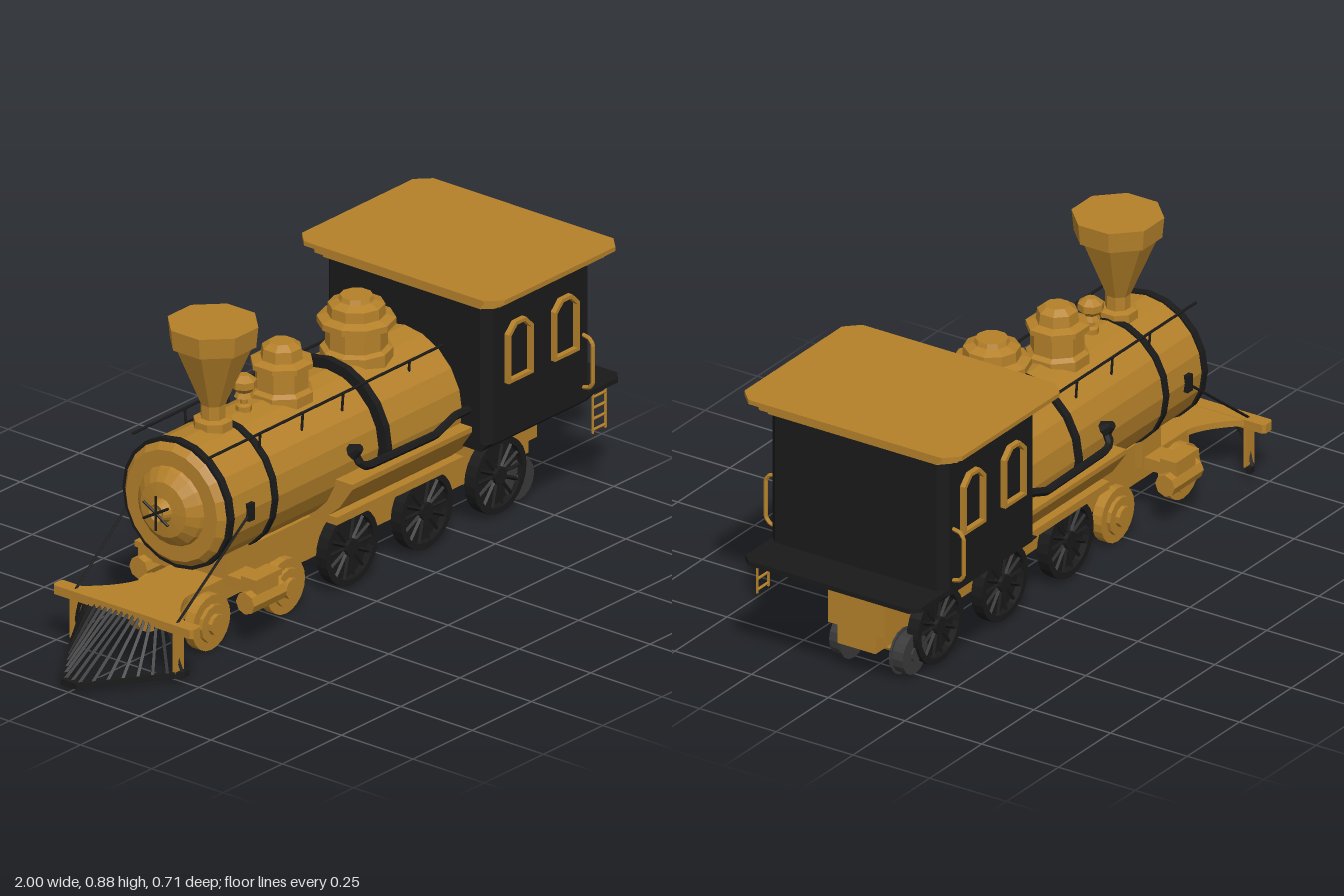
import * as THREE from 'three';

const mat = (color) => new THREE.MeshStandardMaterial({ color, flatShading: true, side: THREE.DoubleSide });
const V = (x, y, z) => new THREE.Vector3(x, y, z);

export function createModel() {
  const root = new THREE.Group();
  const gold = mat(0xb5812a), black = mat(0x1a1a1a), grey = mat(0x3a3a3a);

  const add = (name, geo, m, x = 0, y = 0, z = 0, parent = root) => {
    const mesh = new THREE.Mesh(geo, m);
    mesh.name = name;
    mesh.position.set(x, y, z);
    parent.add(mesh);
    return mesh;
  };
  // Box given by its limits
  const box = (name, m, x0, x1, y0, y1, z0, z1) =>
    add(name, new THREE.BoxGeometry(x1 - x0, y1 - y0, z1 - z0), m, (x0 + x1) / 2, (y0 + y1) / 2, (z0 + z1) / 2);
  // Straight round bar between two points
  const bar = (name, m, a, b, r, sides = 6, parent = root) => {
    const mesh = add(name, new THREE.CylinderGeometry(r, r, a.distanceTo(b), sides), m, 0, 0, 0, parent);
    mesh.position.copy(a).add(b).multiplyScalar(0.5);
    mesh.quaternion.setFromUnitVectors(V(0, 1, 0), b.clone().sub(a).normalize());
    return mesh;
  };
  const tube = (name, m, pts, r, closed = false) => {
    const path = new THREE.CurvePath();
    const n = closed ? pts.length : pts.length - 1;
    for (let i = 0; i < n; i++) path.add(new THREE.LineCurve3(pts[i], pts[(i + 1) % pts.length]));
    return add(name, new THREE.TubeGeometry(path, n * 6, r, 6, closed), m);
  };
  const lathe = (name, m, pts, sides, x, y, z) =>
    add(name, new THREE.LatheGeometry(pts.map((p) => new THREE.Vector2(...p)), sides), m, x, y, z);
  const shape = (pts) => new THREE.Shape(pts.map((p) => new THREE.Vector2(...p)));
  // Horizontal plate with cut corners
  const plate = (name, m, x0, x1, w, y0, y1, c) => {
    const s = shape([[x0 + c, -w], [x1 - c, -w], [x1, c - w], [x1, w - c], [x1 - c, w], [x0 + c, w], [x0, w - c], [x0, c - w]]);
    const g = new THREE.ExtrudeGeometry(s, { depth: y1 - y0, bevelEnabled: false });
    return add(name, g.rotateX(-Math.PI / 2), m, 0, y0, 0);
  };
  const both = (fn) => [1, -1].forEach(fn);

  // Boiler with a wider rear section, smokebox front and door, turned about x
  const axisY = 0.405;
  const boiler = lathe('boiler', gold, [
    [0, -0.61], [0.025, -0.63], [0.035, -0.605], [0.08, -0.6], [0.11, -0.575], [0.115, -0.565], [0.16, -0.565],
    [0.175, -0.55], [0.182, -0.54], [0.182, 0.1], [0.2, 0.1], [0.2, 0.43], [0, 0.43]], 20, 0, axisY, 0);
  boiler.rotation.z = -Math.PI / 2;
  for (const [x, r] of [[-0.535, 0.188], [-0.35, 0.188], [0.1, 0.212]]) {
    add('boilerBand', new THREE.CylinderGeometry(r, r, 0.022, 20), black, x, axisY, 0).rotation.z = -Math.PI / 2;
  }
  for (let i = 0; i < 3; i++) {
    const a = (i * Math.PI) / 3, d = V(0, Math.cos(a) * 0.05, Math.sin(a) * 0.05);
    const c = V(-0.632, axisY, 0);
    bar('doorHandle', black, c.clone().add(d), c.clone().sub(d), 0.004);
  }

  // Smokestack, bell and domes
  lathe('smokestack', gold, [[0.055, 0.57], [0.055, 0.605], [0.035, 0.61], [0.035, 0.65], [0.11, 0.825],
    [0.122, 0.828], [0.128, 0.888], [0, 0.888]], 8, -0.39, 0, 0).rotation.y = Math.PI / 8;
  lathe('bell', gold, [[0.022, 0.57], [0.022, 0.6], [0.01, 0.605], [0.01, 0.62], [0.027, 0.625], [0.02, 0.64],
    [0.036, 0.655], [0.036, 0.675], [0.015, 0.69], [0, 0.69]], 8, -0.26, 0, 0);
  lathe('sandDome', gold, [[0.088, 0.56], [0.088, 0.595], [0.075, 0.605], [0.075, 0.66], [0.088, 0.665], [0.088, 0.68],
    [0.06, 0.688], [0.056, 0.72], [0.035, 0.735], [0, 0.735]], 8, -0.1, 0, 0).rotation.y = Math.PI / 8;
  lathe('steamDome', gold, [[0.1, 0.57], [0.1, 0.612], [0.085, 0.62], [0.085, 0.675], [0.108, 0.682], [0.108, 0.7],
    [0.08, 0.71], [0.078, 0.74], [0.05, 0.752], [0.045, 0.765], [0, 0.765]], 10, 0.215, 0, 0);

  // Side tanks narrowing downward, merging into the floor beneath the cab
  const tank = new THREE.ExtrudeGeometry(
    shape([[-0.13, 0.24], [0.13, 0.24], [0.19, 0.29], [0.235, 0.355], [0.235, 0.37], [-0.235, 0.37], [-0.235, 0.355], [-0.19, 0.29]]),
    { depth: 0.52, bevelEnabled: false });
  add('sideTank', tank.rotateY(Math.PI / 2), gold, -0.085);
  box('runningBoard', gold, -0.085, 0.45, 0.235, 0.258, -0.18, 0.18);

  // Frame and under-cab body
  box('frame', gold, -0.64, 0.865, 0.095, 0.165, -0.062, 0.062);
  box('upperFrame', gold, -0.34, 0.45, 0.16, 0.238, -0.09, 0.09);
  box('underCab', gold, 0.45, 0.865, 0.15, 0.32, -0.092, 0.092);
  box('smokeboxSaddle', gold, -0.45, -0.36, 0.16, 0.26, -0.1, 0.1);

  // Front platform sweeping from the saddle to the bumper beam
  const deck = new THREE.Shape();
  deck.moveTo(-0.75, -0.2);
  deck.quadraticCurveTo(-0.67, -0.1, -0.6, -0.085);
  deck.lineTo(-0.36, -0.085);
  deck.lineTo(-0.36, 0.085);
  deck.lineTo(-0.6, 0.085);
  deck.quadraticCurveTo(-0.67, 0.1, -0.75, 0.2);
  add('frontPlatform', new THREE.ExtrudeGeometry(deck, { depth: 0.018, bevelEnabled: false, curveSegments: 6 })
    .rotateX(-Math.PI / 2), gold, 0, 0.157, 0);
  plate('bumperBeam', gold, -0.775, -0.732, 0.245, 0.15, 0.176, 0.008);

  // Cowcatcher: wedge base and fan of slats
  const vEdge = (t) => V(-1 + 0.25 * Math.max(0, Math.abs(t) - 0.14) / 0.86, 0.035, t * 0.2);
  const wedge = [-1, -0.14, 0.14, 1].map((t) => [vEdge(t).x, vEdge(t).z]);
  const inner = [[-0.73, 0.2], [-0.73, 0.185], [-0.76, 0.175], [-0.965, 0.02], [-0.965, -0.02], [-0.76, -0.175], [-0.73, -0.185], [-0.73, -0.2]];
  add('cowcatcherBase', new THREE.ExtrudeGeometry(shape([...wedge, ...inner]), { depth: 0.017, bevelEnabled: false })
    .rotateX(-Math.PI / 2), black, 0, 0.018, 0);
  for (let i = 0; i < 17; i++) {
    const t = i / 8 - 1;
    bar('cowcatcherSlat', black, vEdge(t * 0.97).add(V(0.008, -0.008, 0)), V(-0.765, 0.165, t * 0.15), 0.006, 4);
  }

  // Wheels, built facing +z and turned for the other side
  const disc = (name, m, r, d, z, parent, sides = 20) =>
    add(name, new THREE.CylinderGeometry(r, r, d, sides), m, 0, 0, z, parent).rotation.x = Math.PI / 2;
  const wheel = (name, x, y, z, side) => {
    const g = new THREE.Group();
    g.name = name;
    g.position.set(x, y, z * side);
    if (side < 0) g.rotation.y = Math.PI;
    root.add(g);
    return g;
  };
  both((s) => {
    for (const x of [-0.535, -0.22]) {
      const g = wheel('leadingWheel', x, 0.083, 0.1, s);
      disc('wheelTread', gold, 0.08, 0.03, 0, g);
      disc('wheelFace', gold, 0.055, 0.014, 0.02, g, 12);
      disc('wheelHub', gold, 0.03, 0.03, 0.025, g, 10);
    }
    for (const x of [0.035, 0.35, 0.66]) {
      const g = wheel('drivingWheel', x, 0.117, 0.117, s);
      const ring = new THREE.Shape().absarc(0, 0, 0.11, 0, Math.PI * 2);
      ring.holes.push(new THREE.Path().absarc(0, 0, 0.092, 0, Math.PI * 2, true));
      add('wheelRim', new THREE.ExtrudeGeometry(ring, { depth: 0.036, bevelEnabled: false, curveSegments: 12 }), black, 0, 0, -0.018, g);
      disc('wheelWeb', black, 0.095, 0.008, -0.006, g);
      disc('wheelHub', black, 0.025, 0.042, 0, g, 12);
      for (let i = 0; i < 14; i++) {
        const a = (i / 14) * Math.PI * 2, c = Math.cos(a), d = Math.sin(a);
        bar('wheelSpoke', black, V(c * 0.015, d * 0.015, 0.006), V(c * 0.096, d * 0.096, 0.006), 0.006, 4, g);
      }
    }
    const t = wheel('trailingWheel', 0.76, 0.07, 0.1, s);
    disc('wheelTread', grey, 0.06, 0.04, 0, t, 16);
    disc('wheelFlange', grey, 0.067, 0.006, -0.018, t, 16);
    disc('wheelHub', grey, 0.022, 0.052, 0, t, 10);

    // Steam cylinders and bumper posts
    add('steamCylinder', new THREE.CylinderGeometry(0.032, 0.032, 0.14, 8), gold, -0.41, 0.14, 0.187 * s).rotation.z = Math.PI / 2;
    box('steamChest', gold, -0.455, -0.365, 0.16, 0.195, s * 0.187 - 0.022, s * 0.187 + 0.022);
    box('steamChestCap', gold, -0.465, -0.355, 0.192, 0.21, s * 0.187 - 0.026, s * 0.187 + 0.026);
    box('cylinderBracket', gold, -0.45, -0.37, 0.155, 0.19, s * 0.13 - 0.04, s * 0.13 + 0.04);
    box('bumperPost', gold, -0.772, -0.735, 0.03, 0.16, s * 0.18 - 0.005, s * 0.18 + 0.005);

    // Brace rods and handrails
    bar('braceRod', black, V(-0.76, 0.17, 0.178 * s), V(-0.455, 0.4, 0.185 * s), 0.004);
    box('braceBracket', black, -0.467, -0.443, 0.378, 0.428, s * 0.182 - 0.01, s * 0.182 + 0.01);
    bar('handrail', black, V(-0.57, 0.583, 0.132 * s), V(0.43, 0.583, 0.132 * s), 0.004);
    for (const x of [-0.35, -0.17, 0.0, 0.28]) {
      bar('handrailPost', black, V(x, 0.583, 0.132 * s), V(x, 0.53, 0.128 * s), 0.004);
    }

    // Side pipe with a valve at its front end
    tube('sidePipe', black, [V(-0.035, 0.44, 0.2 * s), V(-0.03, 0.405, 0.22 * s), V(0, 0.395, 0.222 * s),
      V(0.28, 0.39, 0.222 * s), V(0.36, 0.418, 0.222 * s), V(0.43, 0.418, 0.222 * s)], 0.012);
    add('pipeValve', new THREE.CylinderGeometry(0.012, 0.024, 0.03, 8), black, -0.037, 0.45, 0.21 * s).rotation.x = s * 0.9;

    // Arched window frames and grab handles
    for (const x of [0.545, 0.74]) {
      const arch = (w, y0, y1, c) => [[x - w, y0], [x + w, y0], [x + w, y1 - c], [x + w - c, y1], [x - w + c, y1], [x - w, y1 - c]];
      const frame = shape(arch(0.052, 0.49, 0.664, 0.03));
      frame.holes.push(new THREE.Path(arch(0.042, 0.5, 0.654, 0.026).map((p) => new THREE.Vector2(...p))));
      add('windowFrame', new THREE.ExtrudeGeometry(frame, { depth: 0.024, bevelEnabled: false }), gold, 0, 0, s > 0 ? 0.28 : -0.304);
    }
    tube('grabHandle', gold, [V(0.825, 0.52, 0.285 * s), V(0.825, 0.515, 0.31 * s), V(0.825, 0.5, 0.322 * s),
      V(0.825, 0.385, 0.322 * s), V(0.825, 0.37, 0.31 * s), V(0.825, 0.365, 0.285 * s)], 0.006);
  });
  for (const x of [-0.535, -0.22, 0.035, 0.35, 0.66, 0.76]) {
    const y = x < 0 ? 0.083 : x > 0.7 ? 0.07 : 0.117;
    bar('axle', gold, V(x, y, -0.1), V(x, y, 0.1), 0.012, 8);
  }

  // Cab, floor and rear deck
  plate('cab', black, 0.42, 0.868, 0.288, 0.325, 0.74, 0.025);
  const floor = new THREE.ExtrudeGeometry(shape([[-0.265, 0.305], [0.265, 0.305], [0.288, 0.33], [-0.288, 0.33]]),
    { depth: 0.448, bevelEnabled: false });
  add('cabFloor', floor.rotateY(Math.PI / 2), black, 0.42);
  plate('rearDeck', black, 0.8, 1.0, 0.286, 0.328, 0.342, 0.025);

  // Stepped roof
  plate('roofCornice', gold, 0.405, 0.885, 0.305, 0.733, 0.748, 0.03);
  plate('roofStep', gold, 0.39, 0.9, 0.328, 0.746, 0.768, 0.035);
  plate('roofTop', gold, 0.372, 0.92, 0.355, 0.766, 0.779, 0.04);

  // Ladder hanging under the rear deck on one side
  for (const x of [0.875, 0.928]) bar('ladderRail', gold, V(x, 0.21, 0.28), V(x, 0.33, 0.28), 0.004);
  for (let i = 0; i < 4; i++) bar('ladderRung', gold, V(0.875, 0.22 + i * 0.032, 0.28), V(0.928, 0.22 + i * 0.032, 0.28), 0.004);

  return root;
}
